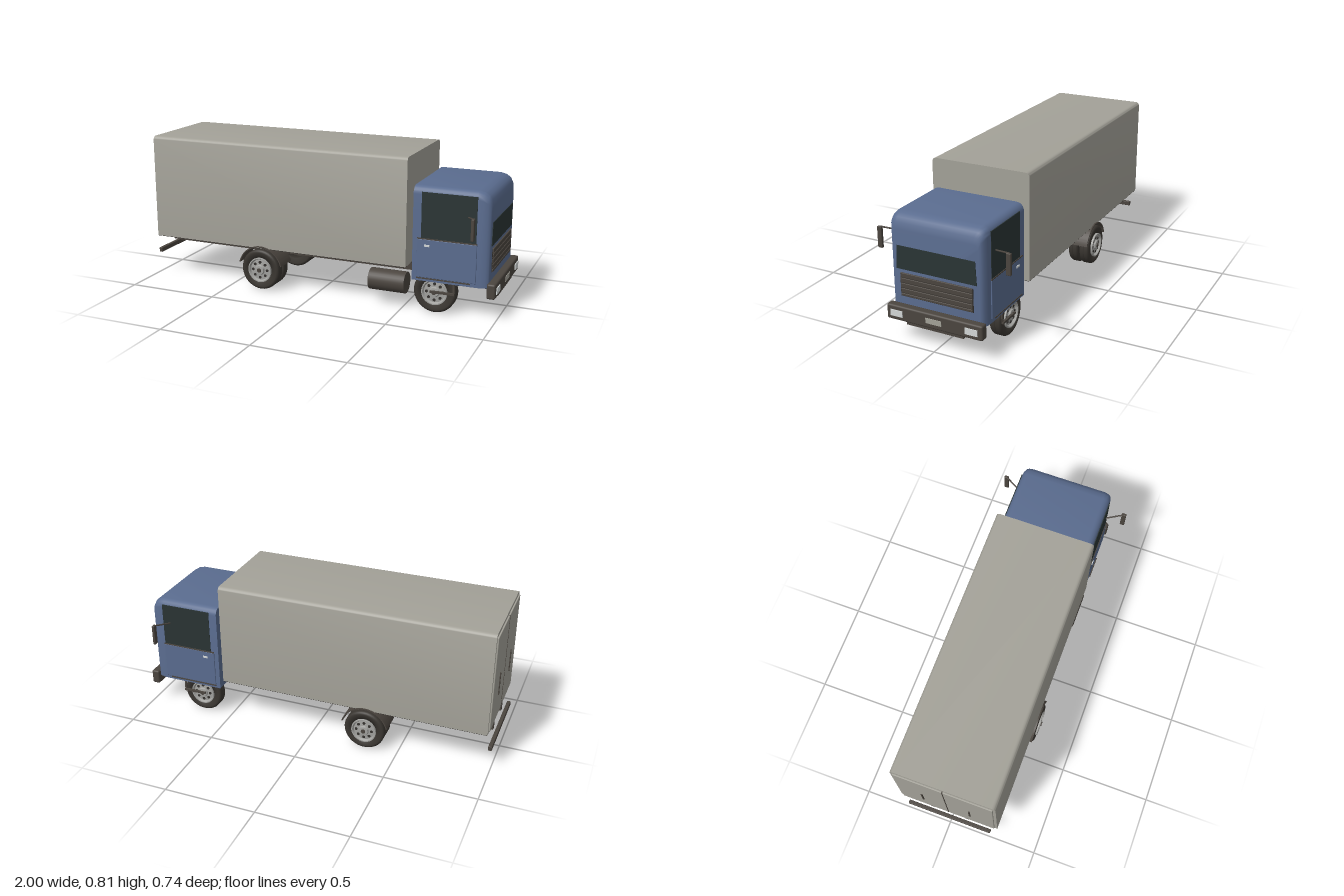
import * as THREE from 'three';
import { toCreasedNormals } from 'three/addons/utils/BufferGeometryUtils.js';
import { RoundedBoxGeometry } from 'three/addons/geometries/RoundedBoxGeometry.js';

const mat = (name, color) => {
  const m = new THREE.MeshStandardMaterial({ color });
  m.name = name;
  return m;
};

export function createModel() {
  const truck = new THREE.Group();
  truck.name = 'boxTruck';
  const grey = mat('cargoGrey', 0xa3a198);
  const blue = mat('cabBlue', 0x5a6c8f);
  const dark = mat('darkTrim', 0x4b453f);
  const rubber = mat('tyreRubber', 0x3a3631);
  const glass = mat('darkGlass', 0x2a3434);
  const light = mat('lampWhite', 0xd3d7d7);
  const steel = mat('wheelSteel', 0xa3a3a0);
  const under = mat('underside', 0x35322f);

  const add = (name, geo, m, x = 0, y = 0, z = 0, parent = truck) => {
    const mesh = new THREE.Mesh(geo, m);
    mesh.name = name;
    mesh.position.set(x, y, z);
    parent.add(mesh);
    return mesh;
  };
  // box given by its limits on each axis
  const block = (name, m, x0, x1, y0, y1, z0, z1, r = 0) => {
    const s = [x1 - x0, y1 - y0, z1 - z0];
    const geo = r ? new RoundedBoxGeometry(...s, 3, r) : new THREE.BoxGeometry(...s);
    return add(name, geo, m, (x0 + x1) / 2, (y0 + y1) / 2, (z0 + z1) / 2);
  };
  // cross-section in (z, y) with rounded top corners
  const section = (w, y0, top, r, n = 6) => {
    const pts = [[w, y0]];
    for (const side of [1, -1]) {
      for (let i = 0; i <= n; i++) {
        const a = (side > 0 ? i / n : 1 + i / n) * Math.PI / 2;
        pts.push([side * (w - r) + r * Math.cos(a), top - r + r * Math.sin(a)]);
      }
    }
    pts.push([-w, y0]);
    return pts;
  };
  // skin sections [x, halfWidth, bottom, top, radius] along x and close both ends
  const loft = (rows, crease) => {
    const pos = [], idx = [];
    const loops = rows.map(([x, ...s]) => section(...s).map(([z, y]) => [x, y, z]));
    const n = loops[0].length;
    loops.forEach(l => l.forEach(p => pos.push(...p)));
    for (let k = 0; k < loops.length - 1; k++) {
      for (let i = 0; i < n; i++) {
        const j = (i + 1) % n, a = k * n + i, b = k * n + j;
        idx.push(a, a + n, b, b, a + n, b + n);
      }
    }
    const e = (loops.length - 1) * n;
    for (let i = 1; i < n - 1; i++) idx.push(0, i, i + 1, e, e + i + 1, e + i);
    const geo = new THREE.BufferGeometry();
    geo.setAttribute('position', new THREE.Float32BufferAttribute(pos, 3));
    geo.setIndex(idx);
    // check the winding on the first wall and turn it if needed
    const [p, q, r] = [idx[0], idx[1], idx[2]].map(i => new THREE.Vector3().fromArray(pos, i * 3));
    if (q.sub(p).cross(r.sub(p)).z < 0) {
      for (let i = 0; i < idx.length; i += 3) [idx[i + 1], idx[i + 2]] = [idx[i + 2], idx[i + 1]];
      geo.setIndex(idx);
    }
    return toCreasedNormals(geo, crease);
  };

  // cargo body, floor and rear doors
  add('cargoBox', loft([[-0.977, 0.277, 0.235, 0.812, 0.022], [0.525, 0.277, 0.235, 0.812, 0.022]], 0.6), grey);
  block('cargoFloor', under, -0.975, 0.523, 0.232, 0.236, -0.275, 0.275);
  for (const s of [1, -1]) {
    block('rearDoor', grey, -0.985, -0.975, 0.25, 0.793, s * 0.132 - 0.13, s * 0.132 + 0.13, 0.003);
    block('doorLockRod', dark, -0.99, -0.984, 0.4, 0.53, s * 0.13 - 0.004, s * 0.13 + 0.004);
  }
  block('rearDoorSeam', dark, -0.986, -0.976, 0.25, 0.793, -0.002, 0.002);

  // chassis
  for (const s of [1, -1]) block('chassisRail', dark, -0.975, 0.9, 0.168, 0.217, s * 0.1 - 0.0125, s * 0.1 + 0.0125);
  block('rearBar', dark, -1, -0.98, 0.12, 0.146, -0.24, 0.24, 0.003);
  const tank = add('fuelTank', new THREE.CylinderGeometry(0.058, 0.058, 0.2, 32), dark, 0.415, 0.132, 0.217);
  tank.rotation.z = Math.PI / 2;

  // cab shell, rounded towards the front
  add('cab', loft([
    [0.555, 0.262, 0.17, 0.667, 0.04], [0.885, 0.262, 0.17, 0.667, 0.04],
    [0.915, 0.26, 0.17, 0.66, 0.04], [0.938, 0.254, 0.17, 0.646, 0.038],
    [0.951, 0.245, 0.17, 0.625, 0.034], [0.956, 0.236, 0.17, 0.59, 0.03],
  ], 0.7), blue);
  block('cabFloor', under, 0.557, 0.953, 0.167, 0.171, -0.245, 0.245);

  // thin plate from a [z, y] outline on the cab front
  const screen = new THREE.Shape([[-0.223, 0.385], [0.223, 0.385], [0.216, 0.507], [-0.216, 0.507]]
    .map(p => new THREE.Vector2(...p)));
  add('windscreen', new THREE.ExtrudeGeometry(screen, { depth: 0.005, bevelEnabled: false }), glass, 0.954)
    .rotation.y = Math.PI / 2;

  // grille
  block('grille', under, 0.953, 0.959, 0.242, 0.364, -0.203, 0.203);
  for (let i = 0; i < 4; i++) {
    const y = 0.261 + i * 0.0275;
    block('grilleSlat', dark, 0.955, 0.964, y, y + 0.024, -0.2, 0.2, 0.003);
  }
  block('grilleLip', dark, 0.955, 0.964, 0.244, 0.258, -0.2, 0.2, 0.003);

  // front bumper, lamps and blank plate
  block('frontBumper', dark, 0.95, 0.995, 0.12, 0.2, -0.269, 0.269, 0.01);
  block('bumperValance', dark, 0.945, 0.985, 0.105, 0.125, -0.16, 0.16);
  block('frontPlate', grey, 0.993, 0.998, 0.147, 0.175, -0.044, 0.044);
  for (const s of [1, -1]) block('headlamp', light, 0.992, 1, 0.143, 0.176, s * 0.21 - 0.034, s * 0.21 + 0.034);

  // doors, side glass, handles, steps and mirrors
  for (const s of [1, -1]) {
    const side = (name, m, x0, x1, y0, y1, a, b, r) =>
      block(name, m, x0, x1, y0, y1, Math.min(s * a, s * b), Math.max(s * a, s * b), r);
    side('doorPanel', blue, 0.58, 0.893, 0.19, 0.394, 0.258, 0.267, 0.003);
    side('doorWaistLine', dark, 0.58, 0.893, 0.394, 0.4, 0.258, 0.268);
    side('doorSill', dark, 0.58, 0.865, 0.182, 0.188, 0.258, 0.266);
    side('sideWindow', glass, 0.6, 0.888, 0.4, 0.64, 0.258, 0.264);
    side('doorHandle', light, 0.62, 0.648, 0.357, 0.367, 0.264, 0.272);
    side('cabStep', dark, 0.655, 0.785, 0.112, 0.123, 0.255, 0.268);
    side('stepHanger', dark, 0.775, 0.785, 0.115, 0.175, 0.255, 0.262);
    const arm = new THREE.LineCurve3(new THREE.Vector3(0.843, 0.531, s * 0.258), new THREE.Vector3(0.892, 0.553, s * 0.36));
    add('mirrorArm', new THREE.TubeGeometry(arm, 1, 0.0045, 8), dark);
    side('mirror', dark, 0.884, 0.9, 0.441, 0.554, 0.344, 0.37, 0.004);
  }

  // wheels: tyre, dished rim and nut holes, outer face towards +z
  const tyreGeo = w => new THREE.LatheGeometry([
    [0.066, 0.006], [0.098, 0], [0.108, 0.004], [0.113, 0.012], [0.113, w * 0.47], [0.11, w * 0.48], [0.11, w * 0.52],
    [0.113, w * 0.53], [0.113, w - 0.012], [0.108, w - 0.004], [0.098, w], [0.066, w - 0.006], [0.066, 0.006],
  ].map(p => new THREE.Vector2(...p)), 40);
  const rimGeo = toCreasedNormals(new THREE.LatheGeometry([
    [0, -0.02], [0.067, -0.02], [0.07, 0.002], [0.069, 0.008], [0.063, 0.008], [0.057, -0.004],
    [0.028, 0], [0.024, 0.009], [0, 0.011],
  ].map(p => new THREE.Vector2(...p)), 40), 0.6);
  const wheel = (name, x, s, outer, tyres) => {
    const g = new THREE.Group();
    g.name = name;
    g.position.set(x, 0.113, 0);
    if (s < 0) g.rotation.y = Math.PI;
    truck.add(g);
    for (const [z0, z1] of tyres) add('tyre', tyreGeo(z1 - z0), rubber, 0, 0, z0, g).rotation.x = Math.PI / 2;
    add('rim', rimGeo, steel, 0, 0, outer, g).rotation.x = Math.PI / 2;
    for (let i = 0; i < 8; i++) {
      const a = i * Math.PI / 4;
      add('rimHole', new THREE.CylinderGeometry(0.008, 0.008, 0.008, 12), under,
        0.043 * Math.cos(a), 0.043 * Math.sin(a), outer - 0.003, g).rotation.x = Math.PI / 2;
    }
    add('hubCap', new THREE.CylinderGeometry(0.012, 0.012, 0.008, 20), dark, 0, 0, outer + 0.011, g).rotation.x = Math.PI / 2;
  };
  for (const s of [1, -1]) {
    wheel('frontWheel', 0.675, s, 0.248, [[0.185, 0.252]]);
    wheel('rearWheel', -0.315, s, 0.286, [[0.16, 0.22], [0.228, 0.288]]);
  }
  for (const x of [0.675, -0.315]) {
    add('axle', new THREE.CylinderGeometry(0.015, 0.015, 0.44, 20), dark, x, 0.113, 0).rotation.x = Math.PI / 2;
  }

  // rear mudguards
  const arc = new THREE.Shape();
  arc.absarc(0, 0, 0.133, 0.25, Math.PI - 0.25, false);
  arc.absarc(0, 0, 0.127, Math.PI - 0.25, 0.25, true);
  const guard = toCreasedNormals(new THREE.ExtrudeGeometry(arc, { depth: 0.125, bevelEnabled: false, curveSegments: 24 }), 0.6);
  for (const z of [0.16, -0.285]) add('rearMudguard', guard, dark, -0.315, 0.113, z);

  return truck;
}
